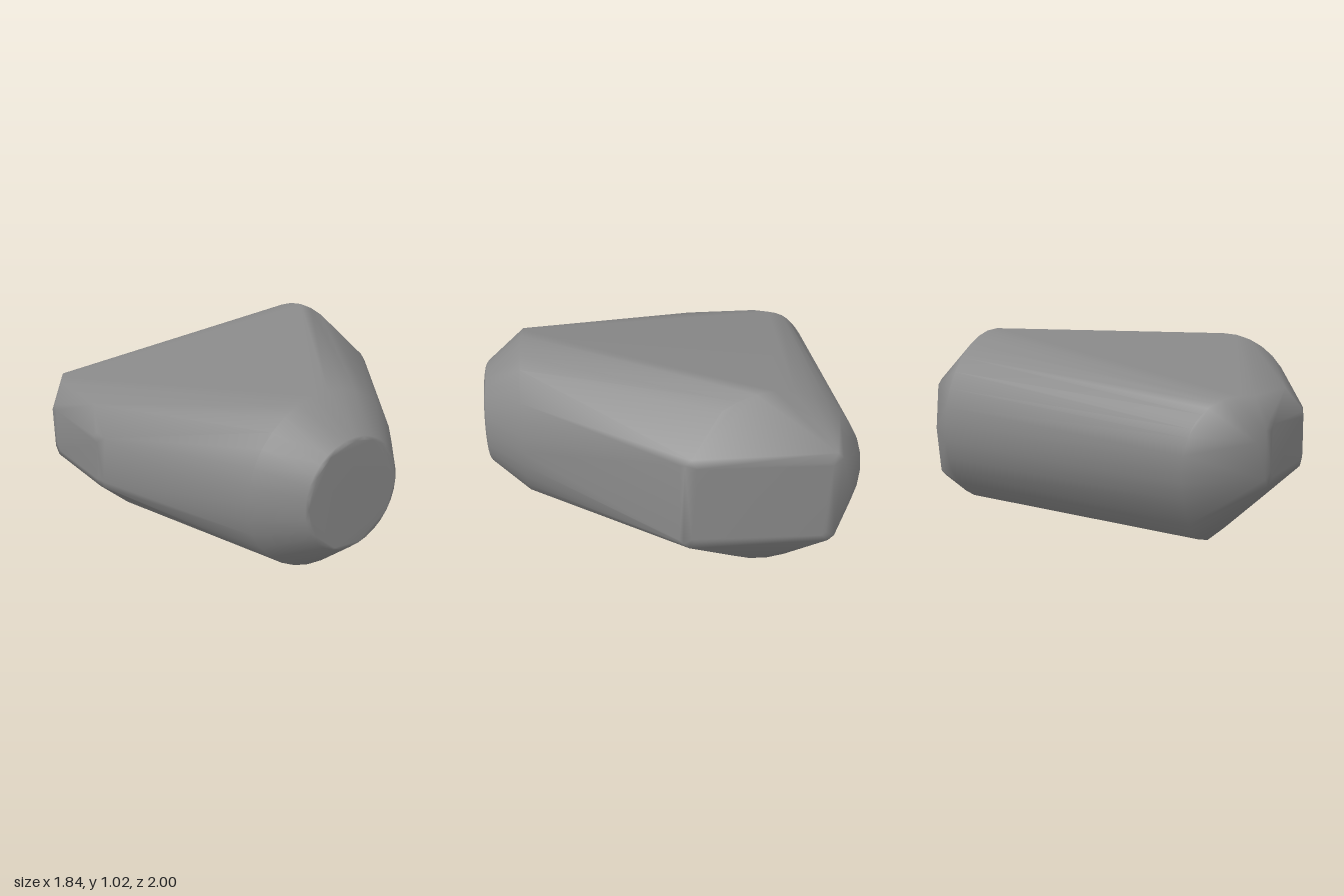
import * as THREE from 'three';
import { ConvexGeometry } from 'three/addons/geometries/ConvexGeometry.js';
import { mergeVertices } from 'three/addons/utils/BufferGeometryUtils.js';

const V = (x, y, z) => new THREE.Vector3(x, y, z);

// Closed ring of points: centre + u cos + v sin
function ring(centre, u, v, n = 32) {
  return Array.from({ length: n }, (_, i) => {
    const a = (i / n) * Math.PI * 2;
    return centre.clone().addScaledVector(u, Math.cos(a)).addScaledVector(v, Math.sin(a));
  });
}

// Flat end face with clipped corners, on a plane of constant x
function endFace(x, y0, y1, z0, z1, c) {
  const points = [];
  for (const [y, sy] of [[y0, 1], [y1, -1]]) {
    for (const [z, sz] of [[z0, 1], [z1, -1]]) {
      points.push(V(x, y + sy * c, z), V(x, y, z + sz * c));
    }
  }
  return points;
}

export function createModel() {
  const group = new THREE.Group();
  group.name = 'convexShell';

  // Front branch: round shoulder and smaller flat cap with a fine bevel
  const front = [
    ...ring(V(-0.12, 0.49, 0.785), V(0.475, 0, 0), V(0, 0.47, 0)),
    ...ring(V(-0.12, 0.49, 0.99), V(0.295, 0, 0), V(0, 0.295, 0)),
    ...ring(V(-0.12, 0.49, 1), V(0.28, 0, 0), V(0, 0.28, 0)),
  ];

  // Left branch: tilted round shoulder, flat end and softened border
  const left = [
    ...ring(V(0.785, 0.54, -0.47), V(-0.035, 0.48, 0), V(0.04, 0, 0.47)),
    ...endFace(0.92, 0.27, 0.71, -0.74, -0.06, 0.02),
    ...endFace(0.907, 0.225, 0.755, -0.79, -0.02, 0.03),
    V(0.87, 0.5, -0.86), V(0.895, 0.27, 0), V(0.895, 0.72, 0),
  ];

  // Right branch: rounded rear rim, sloping shoulder and flat end
  const rim = new THREE.CatmullRomCurve3([
    V(-0.58, 0, -0.58), V(-0.585, 0.06, -0.76), V(-0.6, 0.15, -0.86),
    V(-0.615, 0.33, -0.97), V(-0.63, 0.5, -1), V(-0.67, 0.65, -0.95),
    V(-0.76, 0.74, -0.85), V(-0.85, 0.745, -0.68),
  ]);
  const right = [
    ...rim.getPoints(28),
    V(-0.86, 0.74, -0.25), V(-0.885, 0.54, -0.75),
    V(-0.6, 0.02, -0.4), V(-0.73, 0.15, -0.18),
    V(-0.9, 0.32, -0.1), V(-0.9, 0.62, -0.06),
    ...endFace(-0.91, 0.32, 0.63, -0.7, -0.09, 0.04),
    ...endFace(-0.92, 0.36, 0.61, -0.65, -0.12, 0.03),
  ];

  // One taut, smoothly shaded skin around the three branches
  const hull = new ConvexGeometry([...front, ...left, ...right]);
  hull.deleteAttribute('normal');
  const skin = mergeVertices(hull);
  skin.computeVertexNormals();
  const shell = new THREE.Mesh(skin, new THREE.MeshStandardMaterial({ color: 0x898989 }));
  shell.name = 'shell';
  group.add(shell);
  return group;
}
